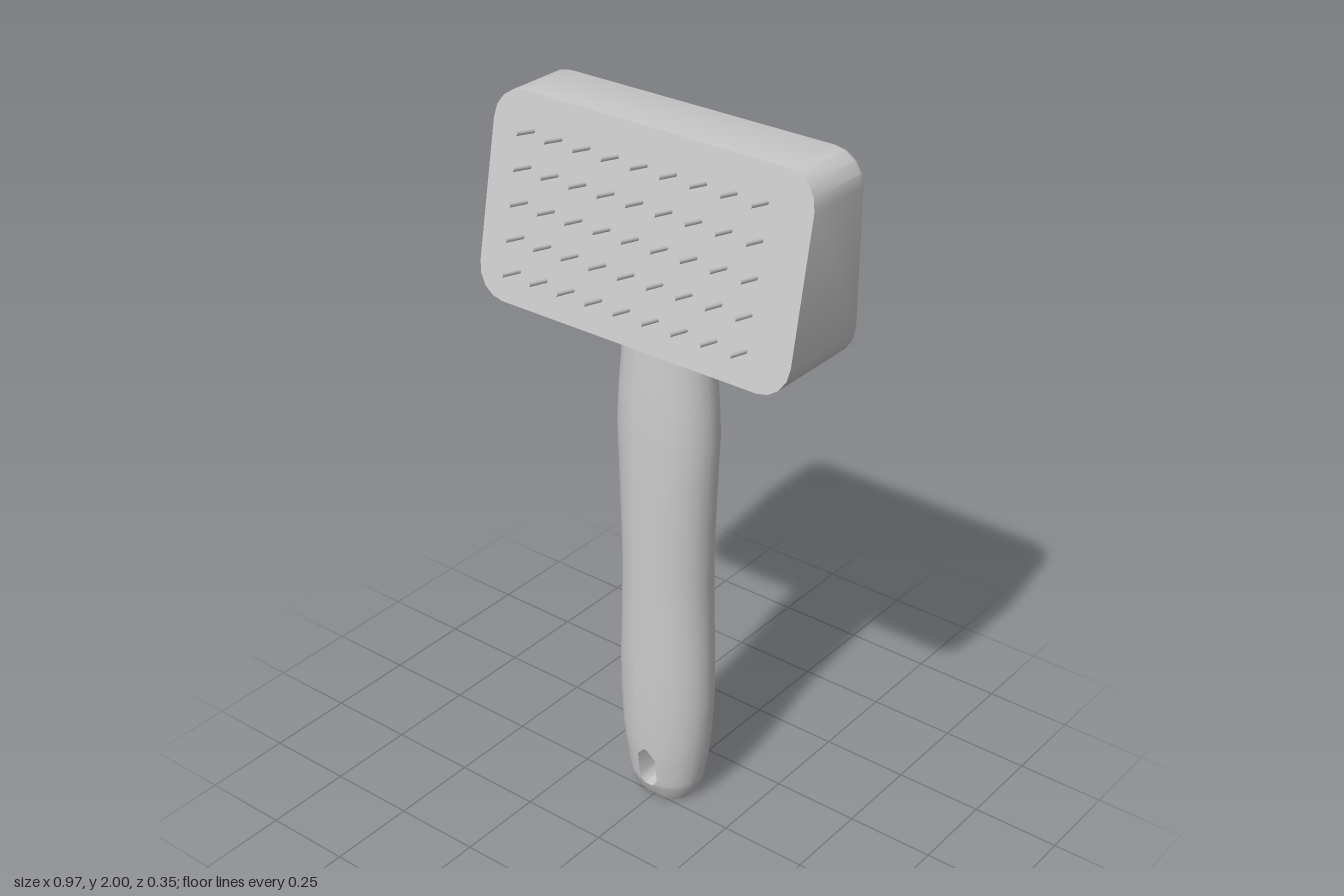
import * as THREE from 'three';
import { toCreasedNormals } from 'three/addons/utils/BufferGeometryUtils.js';

const material = new THREE.MeshStandardMaterial({ color: 0xcccccc });
const openMaterial = new THREE.MeshStandardMaterial({ color: 0xcccccc, side: THREE.DoubleSide });

// Skin closed rings of [x, y, z] points; skip(ring, column) leaves a cell open.
function loft(rings, { skip = () => false, caps = false } = {}) {
  const n = rings[0].length;
  const points = rings.flat();
  const index = [];
  for (let i = 0; i < rings.length - 1; i++) {
    for (let j = 0; j < n; j++) {
      if (skip(i, j)) continue;
      const k = (j + 1) % n;
      const a = i * n + j, b = i * n + k, c = b + n, d = a + n;
      index.push(a, b, c, a, c, d);
    }
  }
  if (caps) {
    const last = (rings.length - 1) * n;
    for (let j = 1; j < n - 1; j++) {
      index.push(0, j + 1, j);
      index.push(last, last + j, last + j + 1);
    }
  }
  const geometry = new THREE.BufferGeometry();
  geometry.setAttribute('position', new THREE.Float32BufferAttribute(points.flat(), 3));
  geometry.setIndex(index);
  geometry.computeVertexNormals();
  return geometry;
}

function addMesh(parent, name, geometry, mat = material) {
  const mesh = new THREE.Mesh(geometry, mat);
  mesh.name = name;
  parent.add(mesh);
  return mesh;
}

// Head: rounded block with a sloping front
const HEAD = { halfWidth: 0.485, bottom: 1.465, top: 2, back: -0.175, radius: 0.085 };
const SLOPE = 0.105 / (HEAD.top - HEAD.bottom);
const frontZ = (y) => 0.017 + (HEAD.top - y) * SLOPE;

function headRing(inset, zAt) {
  const r = HEAD.radius - inset, ring = [], steps = 4;
  const cx = HEAD.halfWidth - HEAD.radius;
  const cy = [HEAD.top - HEAD.radius, HEAD.bottom + HEAD.radius];
  const centres = [[cx, cy[0]], [-cx, cy[0]], [-cx, cy[1]], [cx, cy[1]]];
  centres.forEach(([x0, y0], q) => {
    for (let s = 0; s <= steps; s++) {
      const a = (q + s / steps) * Math.PI / 2;
      const y = y0 + r * Math.sin(a);
      ring.push([x0 + r * Math.cos(a), y, zAt(y)]);
    }
  });
  return ring;
}

function buildHead() {
  const rings = [
    headRing(0.014, () => HEAD.back),
    headRing(0.004, () => HEAD.back + 0.004),
    headRing(0, () => HEAD.back + 0.014),
    headRing(0, frontZ),
  ];
  return toCreasedNormals(loft(rings, { caps: true }), 0.5);
}

// Handle rows: height, half width, half depth, half width of the hanging hole
const HANDLE_Z = -0.057;
const ROWS = [
  [0, 0.082, 0.064, 0.03],
  [0.02, 0.094, 0.075, 0.02],
  [0.05, 0.107, 0.087, 0.012],
  [0.058, 0.109, 0.089, 0.022],
  [0.075, 0.113, 0.091, 0.03],
  [0.15, 0.126, 0.099, 0.03],
  [0.178, 0.13, 0.101, 0.005],
  [0.23, 0.135, 0.104, 0.025],
  [0.35, 0.142, 0.108, 0.03],
  [0.47, 0.14, 0.109, 0.03],
  [0.6, 0.135, 0.109, 0.03],
  [0.74, 0.131, 0.109, 0.03],
  [0.88, 0.135, 0.109, 0.03],
  [1.02, 0.141, 0.109, 0.03],
  [1.17, 0.148, 0.109, 0.03],
  [1.27, 0.142, 0.107, 0.03],
  [1.39, 0.131, 0.101, 0.03],
  [1.48, 0.127, 0.096, 0.03],
];
const HOLE_START = 2, HOLE_END = 6, SIDES = 24;

function buildHandle() {
  const half = SIDES / 2;
  const rings = ROWS.map(([y, rx, rz, w]) => Array.from({ length: SIDES }, (_, j) => {
    // The two columns beside each centre line follow the edge of the hole
    const edge = Math.asin(w / rx);
    let a = (j - 0.5) * 2 * Math.PI / SIDES;
    if (j % half === 0) a = (j ? Math.PI : 0) - edge;
    if (j % half === 1) a = (j > 1 ? Math.PI : 0) + edge;
    return [rx * Math.sin(a), y, HANDLE_Z + rz * Math.cos(a)];
  }));
  return loft(rings, { skip: (i, j) => j % half === 0 && i >= HOLE_START && i < HOLE_END });
}

// Inner wall joining the front and back of the hanging hole
function buildHoleWall() {
  const rows = ROWS.slice(HOLE_START, HOLE_END + 1);
  const side = (sign, depth) => rows.map(([y, rx, rz, w]) =>
    [sign * w, y, HANDLE_Z + depth * rz * Math.sqrt(1 - (w / rx) ** 2)]);
  const outline = (depth) => [...side(1, depth), ...side(-1, depth).reverse()];
  return toCreasedNormals(loft([outline(1), outline(-1)]), 0.6);
}

export function createModel() {
  const model = new THREE.Group();
  model.name = 'petBrush';

  addMesh(model, 'head', buildHead());

  const handle = new THREE.Group();
  handle.name = 'handle';
  model.add(handle);
  addMesh(handle, 'grip', buildHandle(), openMaterial);
  addMesh(handle, 'hangingHole', buildHoleWall(), openMaterial);

  // Grid of pins standing square to the sloping face
  const pins = new THREE.Group();
  pins.name = 'pins';
  model.add(pins);
  const pinGeometry = new THREE.CylinderGeometry(0.006, 0.006, 0.08, 8);
  pinGeometry.translate(0, 0.028, 0);
  const normal = new THREE.Vector3(0, SLOPE, 1).normalize();
  for (let row = 0; row < 5; row++) {
    for (let col = -4; col <= 4; col++) {
      const y = 1.555 + row * 0.0885;
      const pin = addMesh(pins, 'pin', pinGeometry);
      pin.position.set(col * 0.0885, y, frontZ(y));
      pin.quaternion.setFromUnitVectors(new THREE.Vector3(0, 1, 0), normal);
    }
  }
  return model;
}
